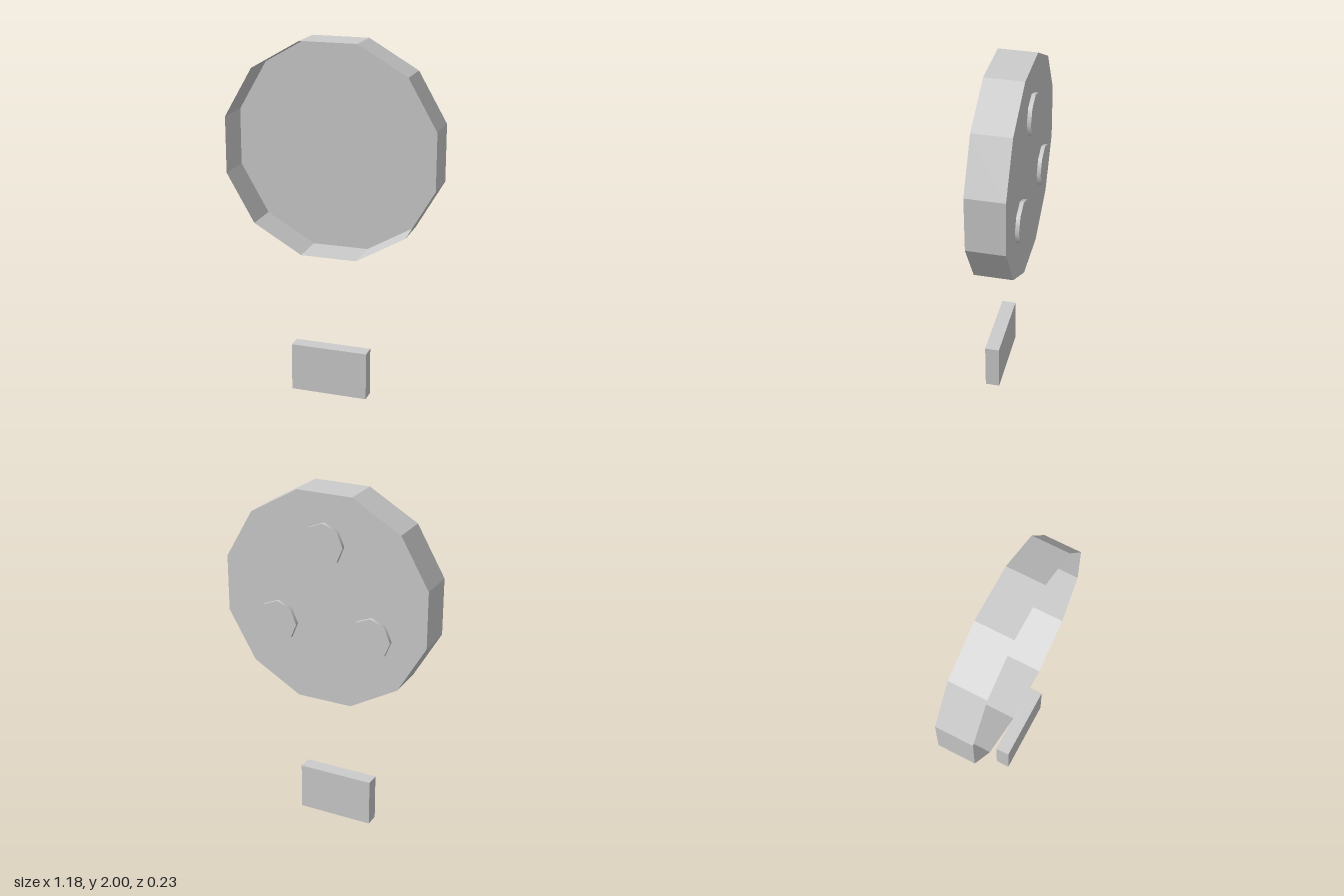
import * as THREE from 'three';

export function createModel() {
  const model = new THREE.Group();
  const grey = new THREE.MeshStandardMaterial({ color: 0xcccccc, side: THREE.DoubleSide });
  grey.name = 'plain grey';

  const add = (name, geometry, x, y, z, parent = model) => {
    const mesh = new THREE.Mesh(geometry, grey);
    mesh.name = name;
    mesh.position.set(x, y, z);
    parent.add(mesh);
    return mesh;
  };

  // Twelve-sided shallow dish, open at the front, with flats on the axes
  const apothem = 0.591, back = -0.095, front = 0.117;
  const radius = apothem / Math.cos(Math.PI / 12);
  const dish = new THREE.Group();
  dish.name = 'dish';
  dish.position.y = 2 - apothem;
  model.add(dish);

  const rim = new THREE.CylinderGeometry(radius, radius, front - back, 12, 1, true, Math.PI / 12)
    .rotateX(Math.PI / 2).toNonIndexed();
  rim.computeVertexNormals();
  add('rim', rim, 0, 0, (front + back) / 2, dish);

  const plate = new THREE.CircleGeometry(radius, 12, Math.PI / 12).rotateY(Math.PI);
  add('backPlate', plate, 0, 0, back, dish);

  // Three eight-sided studs in a triangle on the back
  const studDepth = 0.022;
  const stud = new THREE.CylinderGeometry(0.117, 0.117, studDepth, 8).rotateX(Math.PI / 2);
  for (let i = 0; i < 3; i++) {
    const a = Math.PI / 2 + i * Math.PI * 2 / 3;
    add('backStud', stud, 0.32 * Math.cos(a), 0.32 * Math.sin(a), back - studDepth / 2, dish);
  }

  // Separate block below the dish, flush with its front
  add('lowerBlock', new THREE.BoxGeometry(0.44, 0.275, 0.081), 0, 0.1375, front - 0.0405);

  return model;
}
